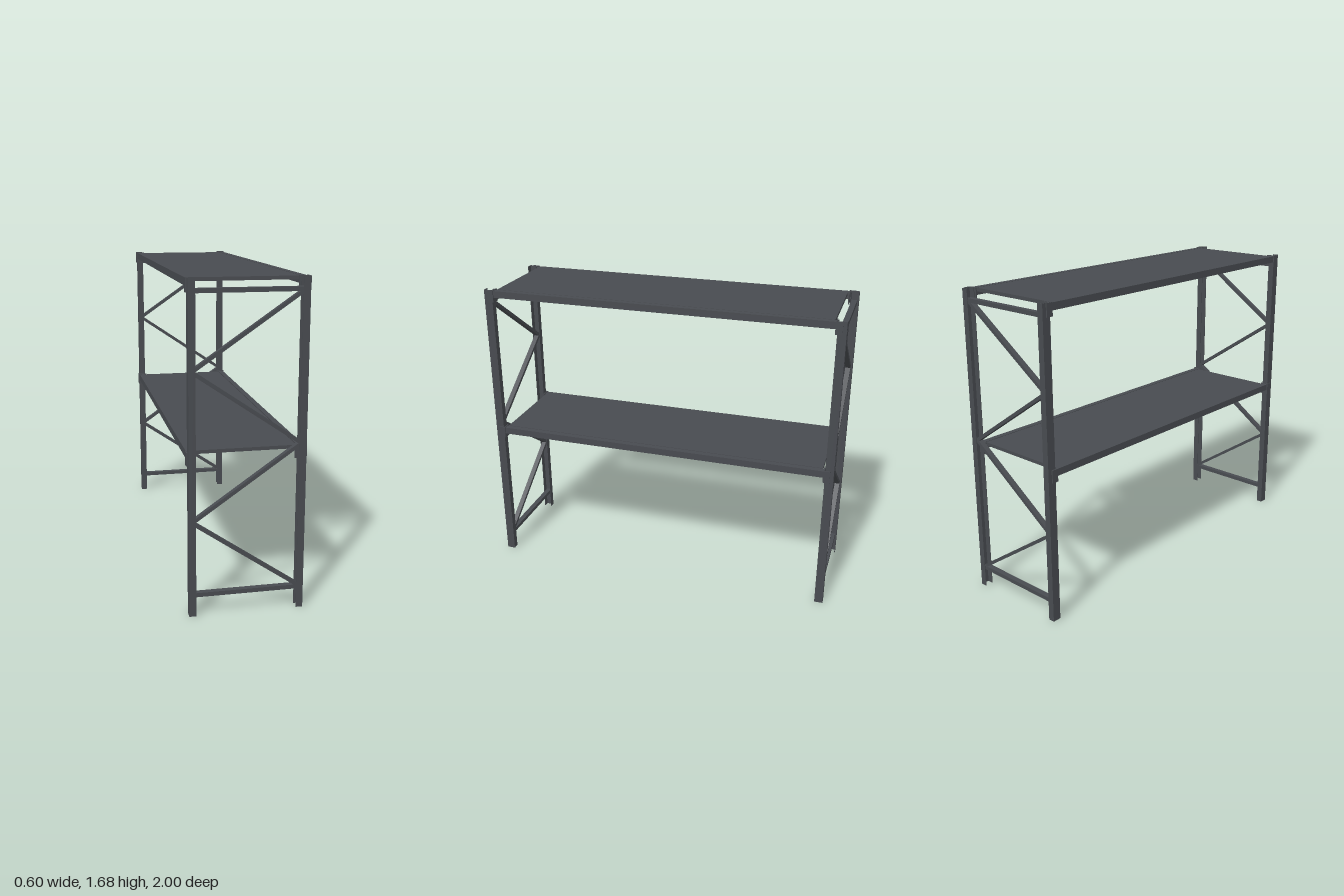
import * as THREE from 'three';

export function createModel() {
  const group = new THREE.Group();
  const steel = new THREE.MeshStandardMaterial({ color: 0x484b50, side: THREE.DoubleSide });
  steel.name = 'dark grey steel';

  // Box given by its min and max corners
  const box = (name, x0, x1, y0, y1, z0, z1, parent = group) => {
    const mesh = new THREE.Mesh(
      new THREE.BoxGeometry(Math.abs(x1 - x0), y1 - y0, Math.abs(z1 - z0)), steel);
    mesh.position.set((x0 + x1) / 2, (y0 + y1) / 2, (z0 + z1) / 2);
    mesh.name = name;
    parent.add(mesh);
    return mesh;
  };

  const height = 1.68, wall = 0.003;
  const shelfTops = [0.845, 1.677];

  for (const sz of [1, -1]) {
    const frame = new THREE.Group();
    frame.name = sz > 0 ? 'frontFrame' : 'backFrame';
    group.add(frame);

    for (const sx of [1, -1]) {
      // Upright: a C-channel open towards the middle of the frame
      const upright = new THREE.Group();
      upright.name = sx > 0 ? 'leftUpright' : 'rightUpright';
      frame.add(upright);
      box('web', sx * 0.293, sx * (0.293 - wall), 0, height, sz * 0.953, sz, upright);
      box('outerFlange', sx * 0.258, sx * 0.293, 0, height, sz * (1 - wall), sz, upright);
      box('innerFlange', sx * 0.258, sx * 0.293, 0, height, sz * 0.953, sz * (0.953 + wall), upright);

      // L-shaped brackets joining the beams to the upright
      for (const top of shelfTops) {
        box('bracketSide', sx * 0.295, sx * 0.301, top - 0.065, top + 0.003, sz * 0.943, sz * 0.98, frame);
        box('bracketEnd', sx * 0.25, sx * 0.301, top - 0.065, top + 0.003, sz * 0.943, sz * 0.949, frame);
      }
    }

    // Horizontal struts
    for (const y of [0.109, 1.62])
      box('strut', -0.286, 0.275, y - 0.011, y + 0.011, sz * 0.96, sz * 0.99, frame);

    // Zigzag diagonal braces
    const nodes = [[0.27, 0.115], [-0.275, 0.49], [0.27, 0.868], [-0.275, 1.24], [0.27, 1.615]];
    for (let i = 0; i < nodes.length - 1; i++) {
      const [ax, ay] = nodes[i], [bx, by] = nodes[i + 1];
      const brace = new THREE.Mesh(
        new THREE.BoxGeometry(Math.hypot(bx - ax, by - ay), 0.018, 0.028), steel);
      brace.position.set((ax + bx) / 2, (ay + by) / 2, sz * 0.975);
      brace.rotation.z = Math.atan2(by - ay, bx - ax);
      brace.name = 'diagonalBrace';
      frame.add(brace);
    }
  }

  // Two shelf decks, each between a pair of long beams
  for (const top of shelfTops) {
    box('shelfDeck', -0.264, 0.259, top - 0.018, top, -0.936, 0.936);
    for (const sx of [1, -1])
      box('beam', sx * 0.264, sx * 0.296, top - 0.038, top, -0.945, 0.945);
  }

  return group;
}
